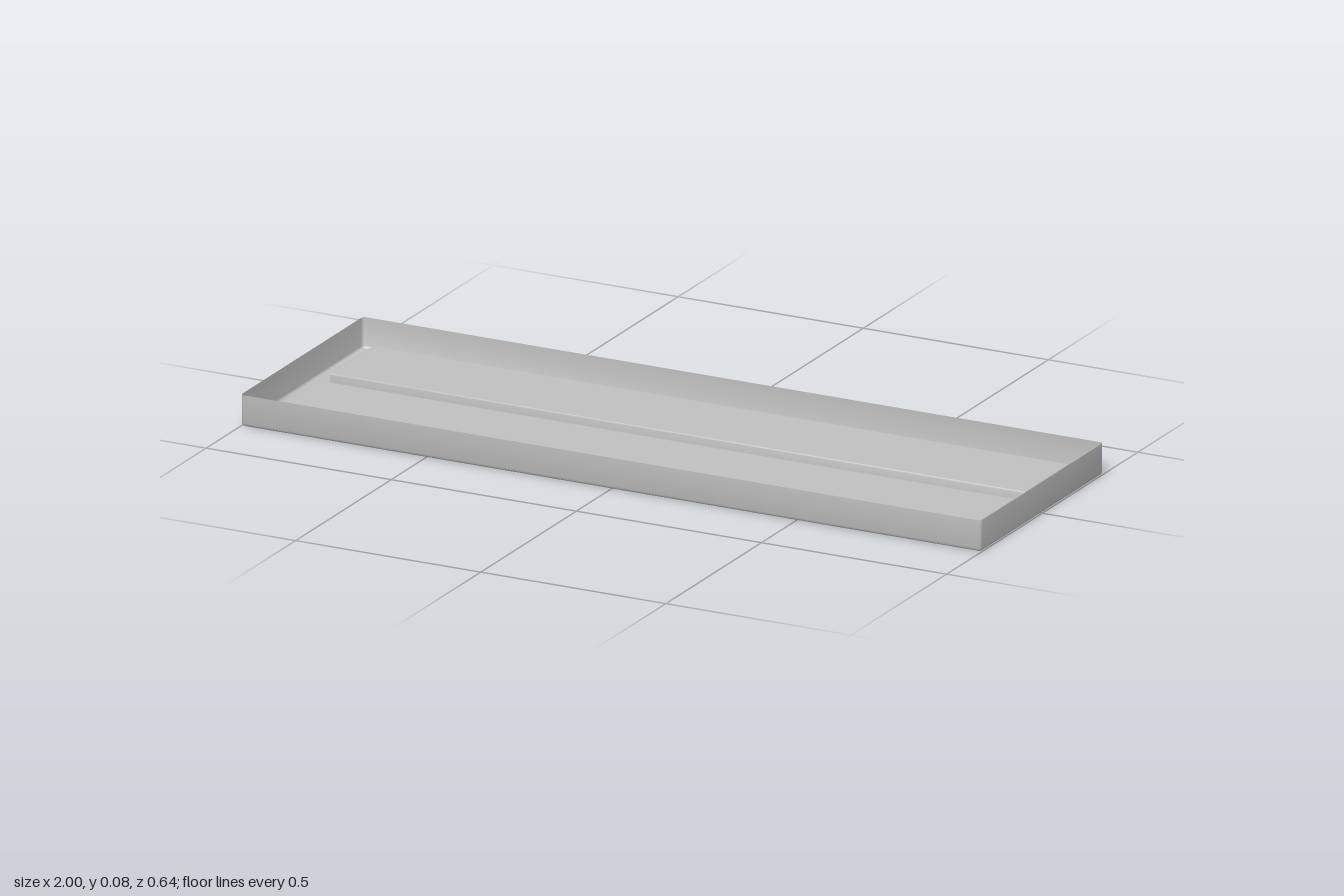
import * as THREE from 'three';
import { toCreasedNormals } from 'three/addons/utils/BufferGeometryUtils.js';

const ARC = 5; // segments in each rounded corner

// Rounded rectangle as a loop of points around (0, cy)
function roundedLoop(halfX, halfY, radius, cy = 0) {
  const points = [];
  const corners = [[1, 1], [-1, 1], [-1, -1], [1, -1]];
  corners.forEach(([sx, sy], c) => {
    for (let i = 0; i <= ARC; i++) {
      const a = (c + i / ARC) * Math.PI / 2;
      points.push(new THREE.Vector2(
        sx * (halfX - radius) + Math.cos(a) * radius,
        cy + sy * (halfY - radius) + Math.sin(a) * radius));
    }
  });
  return points;
}

// Skin joining a stack of rounded rectangles; each ring is [halfX, halfZ, radius, y]
function loft(rings) {
  const positions = [], index = [];
  const n = 4 * (ARC + 1);
  for (const [hx, hz, r, y] of rings) {
    for (const p of roundedLoop(hx, hz, r)) positions.push(p.x, y, -p.y);
  }
  for (let k = 0; k < rings.length - 1; k++) {
    for (let i = 0; i < n; i++) {
      const a = k * n + i, b = k * n + (i + 1) % n;
      index.push(a, b, b + n, a, b + n, a + n);
    }
  }
  const geometry = new THREE.BufferGeometry();
  geometry.setAttribute('position', new THREE.Float32BufferAttribute(positions, 3));
  geometry.setIndex(index);
  return toCreasedNormals(geometry, 0.6);
}

export function createModel() {
  const tray = new THREE.Group();
  tray.name = 'tray';
  const metal = new THREE.MeshStandardMaterial({ color: 0xc0c0c0, side: THREE.DoubleSide });
  metal.name = 'sheet metal grey';

  const add = (name, geometry, y = 0, z = 0) => {
    const mesh = new THREE.Mesh(geometry, metal);
    mesh.name = name;
    mesh.position.set(0, y, z);
    tray.add(mesh);
  };

  const X = 1, Z = 0.32, H = 0.08, R = 0.008;      // tray size and bend radius
  const PX = 0.94, PZ = 0.115, PC = 0.142, PH = 0.036; // raised panel size, offset, height
  const bend = 0.003, cornerR = 0.005;

  // Rim wall with a rolled bottom edge
  const wall = [];
  for (let i = 0; i <= 4; i++) {
    const a = i / 4 * Math.PI / 2;
    const inset = R * (1 - Math.sin(a));
    wall.push([X - inset, Z - inset, R - inset + 0.001, R * (1 - Math.cos(a))]);
  }
  wall.push([X, Z, R + 0.001, H]);
  add('rimWall', loft(wall));

  // Floor with an opening under each raised panel
  const floor = new THREE.Shape(roundedLoop(X - R, Z - R, 0.001));
  for (const side of [-1, 1]) {
    floor.holes.push(new THREE.Path(roundedLoop(PX, PZ, cornerR, side * PC)));
  }
  add('floor', new THREE.ShapeGeometry(floor).rotateX(-Math.PI / 2));

  // Two raised panels: upright sides, softened top edge and flat top
  for (const side of [-1, 1]) {
    const name = side > 0 ? 'frontPanel' : 'backPanel';
    const sides = [[PX, PZ, cornerR, 0]];
    for (let i = 0; i <= 3; i++) {
      const a = i / 3 * Math.PI / 2;
      const inset = bend * (1 - Math.cos(a));
      sides.push([PX - inset, PZ - inset, cornerR - inset, PH - bend * (1 - Math.sin(a))]);
    }
    add(name + 'Sides', loft(sides), 0, side * PC);
    const top = new THREE.Shape(roundedLoop(PX - bend, PZ - bend, cornerR - bend));
    add(name + 'Top', new THREE.ShapeGeometry(top).rotateX(-Math.PI / 2), PH, side * PC);
  }
  return tray;
}
